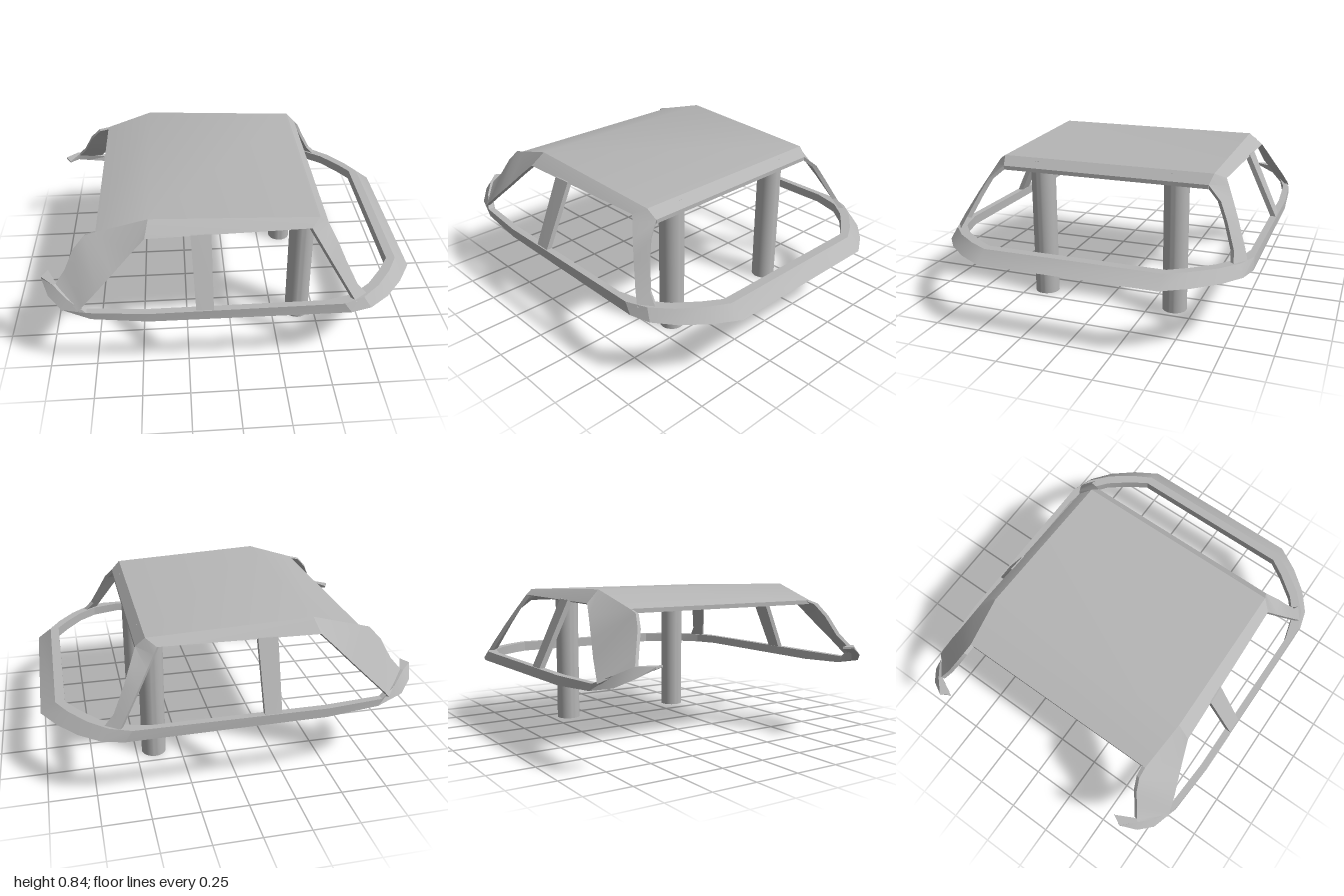
import * as THREE from 'three';
import { toCreasedNormals } from 'three/addons/utils/BufferGeometryUtils.js';

const grey = new THREE.MeshStandardMaterial({ color: 0xb6b6b6 });
grey.name = 'plain grey';

// Closed solid through a list of cross-sections (each a loop of [x, y, z] points)
function loft(sections) {
  const out = [];
  const tri = (a, b, c) => out.push(...a, ...b, ...c);
  const n = sections[0].length;
  for (let i = 0; i < sections.length - 1; i++) {
    const s = sections[i], t = sections[i + 1];
    for (let j = 0; j < n; j++) {
      const k = (j + 1) % n;
      tri(s[j], s[k], t[k]);
      tri(s[j], t[k], t[j]);
    }
  }
  const first = sections[0], last = sections[sections.length - 1];
  for (let j = 1; j < n - 1; j++) {
    tri(first[0], first[j + 1], first[j]);
    tri(last[0], last[j], last[j + 1]);
  }
  // Turn all faces outward
  const p = (i) => new THREE.Vector3(...out.slice(i, i + 3));
  let volume = 0;
  for (let i = 0; i < out.length; i += 9) volume += p(i).dot(p(i + 3).cross(p(i + 6)));
  if (volume < 0) {
    for (let i = 0; i < out.length; i += 9) {
      const b = out.slice(i + 3, i + 6), c = out.slice(i + 6, i + 9);
      out.splice(i + 3, 6, ...c, ...b);
    }
  }
  const g = new THREE.BufferGeometry();
  g.setAttribute('position', new THREE.Float32BufferAttribute(out, 3));
  g.computeVertexNormals();
  return toCreasedNormals(g, 0.35);
}

const flip = ([x, y, z]) => [x, y, -z];
const mirrored = (sections) => sections.map((s) => s.map(flip));

// Pairs of edge points thickened by an offset
const strip = (pairs, o) => pairs.map(([a, b]) => {
  const move = (p) => p.map((v, i) => v + o[i]);
  return [a, b, move(b), move(a)];
});

export function createModel() {
  const model = new THREE.Group();
  model.name = 'canopy';
  const add = (name, geometry) => {
    const mesh = new THREE.Mesh(geometry, grey);
    mesh.name = name;
    model.add(mesh);
    return mesh;
  };
  const addBoth = (name, sections) => {
    add(name + 'Front', loft(sections));
    add(name + 'Back', loft(mirrored(sections)));
  };

  // Folded roof sheet
  const roofEdge = [[-0.7, 0.76, 0.585], [-0.43, 0.842, 0.61], [0.45, 0.806, 0.6], [0.5, 0.757, 0.585]];
  add('roof', loft(strip(roofEdge.map((p) => [p, flip(p)]), [0, -0.022, 0])));

  // Sloping rails above the side windows
  addBoth('roofRail', strip([
    [[-0.43, 0.842, 0.61], [-0.45, 0.775, 0.685]],
    [[0.45, 0.806, 0.6], [0.4, 0.775, 0.655]],
  ], [0, -0.01, -0.03]));

  // Broad curved quarter panels
  addBoth('quarterPanel', strip([
    [[-0.43, 0.842, 0.61], [-0.45, 0.775, 0.685]],
    [[-0.7, 0.76, 0.585], [-0.52, 0.71, 0.712]],
    [[-0.76, 0.745, 0.59], [-0.62, 0.612, 0.752]],
    [[-0.82, 0.68, 0.615], [-0.7, 0.536, 0.785]],
    [[-0.87, 0.58, 0.655], [-0.78, 0.46, 0.812]],
    [[-0.92, 0.52, 0.69], [-0.8, 0.435, 0.82]],
  ], [0.005, -0.005, -0.02]));

  // Narrow posts between the windows
  addBoth('middlePost', strip([
    [[-0.22, 0.78, 0.68], [-0.115, 0.78, 0.675]],
    [[-0.205, 0.42, 0.845], [-0.115, 0.42, 0.845]],
  ], [0, 0, -0.03]));

  // Curved corner posts at the closed end
  addBoth('cornerPost', strip([
    [[0.45, 0.806, 0.6], [0.4, 0.775, 0.655]],
    [[0.5, 0.757, 0.585], [0.42, 0.743, 0.672]],
    [[0.54, 0.69, 0.66], [0.46, 0.68, 0.705]],
    [[0.58, 0.6, 0.705], [0.51, 0.6, 0.745]],
    [[0.64, 0.48, 0.755], [0.585, 0.48, 0.8]],
    [[0.7, 0.415, 0.77], [0.625, 0.415, 0.825]],
  ], [-0.015, -0.005, -0.02]));

  // Lower frame: outer bottom, outer top, inner top, inner bottom
  const half = [
    [[-1, 0.515, 0.63], [-1, 0.525, 0.63], [-0.97, 0.525, 0.575], [-0.97, 0.515, 0.575]],
    [[-0.96, 0.47, 0.72], [-0.93, 0.522, 0.7], [-0.915, 0.522, 0.685], [-0.93, 0.475, 0.69]],
    [[-0.89, 0.427, 0.785], [-0.86, 0.48, 0.765], [-0.85, 0.48, 0.745], [-0.87, 0.43, 0.755]],
    [[-0.74, 0.395, 0.83], [-0.76, 0.432, 0.825], [-0.76, 0.432, 0.79], [-0.74, 0.395, 0.79]],
    [[-0.45, 0.377, 0.85], [-0.45, 0.427, 0.85], [-0.45, 0.427, 0.81], [-0.45, 0.377, 0.81]],
    [[0.6, 0.37, 0.85], [0.56, 0.427, 0.845], [0.47, 0.427, 0.81], [0.47, 0.377, 0.81]],
    [[0.71, 0.37, 0.82], [0.67, 0.427, 0.8], [0.62, 0.427, 0.77], [0.62, 0.375, 0.77]],
    [[0.82, 0.37, 0.735], [0.77, 0.427, 0.71], [0.72, 0.427, 0.69], [0.72, 0.375, 0.69]],
    [[0.92, 0.37, 0.615], [0.86, 0.427, 0.59], [0.81, 0.427, 0.575], [0.81, 0.372, 0.575]],
    [[1, 0.37, 0.48], [0.92, 0.427, 0.48], [0.87, 0.427, 0.48], [0.87, 0.37, 0.48]],
  ];
  add('lowerFrame', loft([...half, ...mirrored(half).reverse()]));

  // Hollow support tubes
  const ring = new THREE.Shape().absarc(0, 0, 0.068, 0, Math.PI * 2);
  ring.holes.push(new THREE.Path().absarc(0, 0, 0.036, 0, Math.PI * 2, true));
  const tube = toCreasedNormals(
    new THREE.ExtrudeGeometry(ring, { depth: 0.79, bevelEnabled: false, curveSegments: 24 }).rotateX(-Math.PI / 2), 0.6);
  for (const side of [1, -1]) {
    add(side > 0 ? 'supportTubeFront' : 'supportTubeBack', tube).position.set(0.4, 0, 0.39 * side);
  }
  return model;
}
